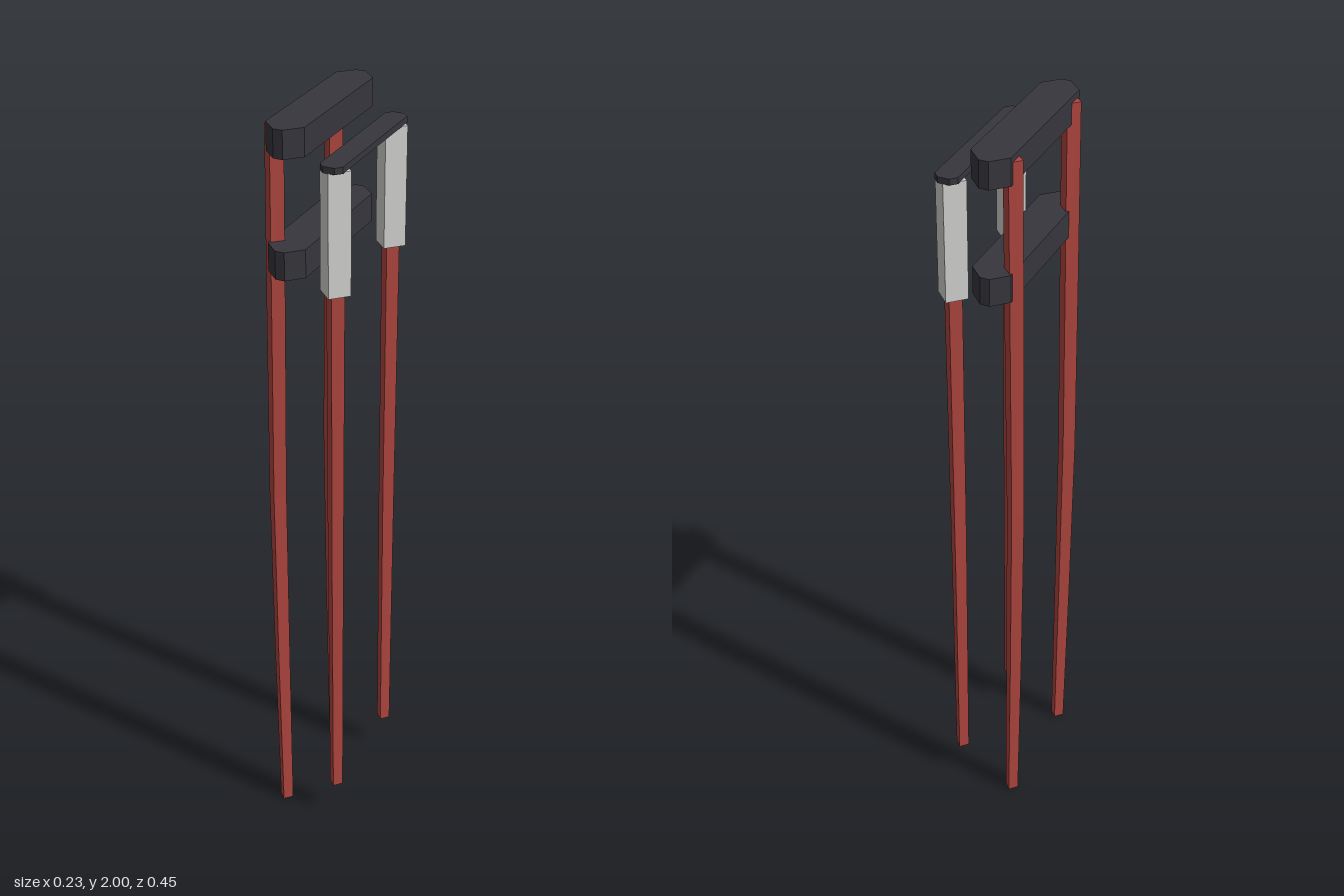
import * as THREE from 'three';

const mat = (name, color) => {
  const m = new THREE.MeshStandardMaterial({ color, flatShading: true });
  m.name = name;
  return m;
};

export function createModel() {
  const red = mat('redWood', 0xb0463f);
  const grey = mat('lightGrey', 0xd4d4d2);
  const dark = mat('charcoal', 0x37363d);
  const group = new THREE.Group();

  const add = (name, geometry, material) => {
    const mesh = new THREE.Mesh(geometry, material);
    mesh.name = name;
    group.add(mesh);
  };

  // Four-sided rod lofted through stations [y, centre x, radius x, radius z]
  function rod(stations, z) {
    const n = stations.length - 1;
    const g = new THREE.CylinderGeometry(1, 1, 1, 4, n);
    const p = g.attributes.position;
    for (let i = 0; i < p.count; i++) {
      const [y, cx, rx, rz] = stations[Math.round((p.getY(i) + 0.5) * n)];
      p.setXYZ(i, cx + p.getX(i) * rx, y, z + p.getZ(i) * rz);
    }
    g.computeVertexNormals();
    return g;
  }

  // Flat bar along z with chamfered ends
  function bar(cx, halfW, tipW, shoulder, halfL, y0, y1) {
    const s = new THREE.Shape([
      [-halfW, -shoulder], [-tipW, -halfL], [tipW, -halfL], [halfW, -shoulder],
      [halfW, shoulder], [tipW, halfL], [-tipW, halfL], [-halfW, shoulder],
    ].map(([x, z]) => new THREE.Vector2(x, z)));
    return new THREE.ExtrudeGeometry(s, { depth: y1 - y0, bevelEnabled: false })
      .rotateX(-Math.PI / 2).translate(cx, y0, 0);
  }

  for (const side of [1, -1]) {
    const z = side * 0.16;
    const end = side > 0 ? 'Front' : 'Back';
    // Long, slightly bowed rods
    add('longRod' + end, rod([
      [0, -0.08, 0.019, 0.02], [0.5, -0.086, 0.022, 0.022],
      [1, -0.09, 0.024, 0.023], [1.5, -0.086, 0.025, 0.023],
      [1.985, -0.082, 0.025, 0.024],
    ], z), red);
    // Short rods and their grips
    add('shortRod' + end, rod([
      [0.105, 0.074, 0.019, 0.02], [0.85, 0.072, 0.022, 0.022],
      [1.6, 0.072, 0.024, 0.023],
    ], z), red);
    add('grip' + end, rod([
      [1.595, 0.072, 0.04, 0.04], [1.905, 0.072, 0.04, 0.04],
    ], z), grey);
  }

  // Crossbars
  add('upperCrossbar', bar(-0.041, 0.049, 0.012, 0.187, 0.224, 1.93, 2), dark);
  add('lowerCrossbar', bar(-0.041, 0.049, 0.012, 0.187, 0.224, 1.632, 1.704), dark);
  add('gripPlate', bar(0.072, 0.029, 0.015, 0.182, 0.197, 1.904, 1.92), dark);

  return group;
}
